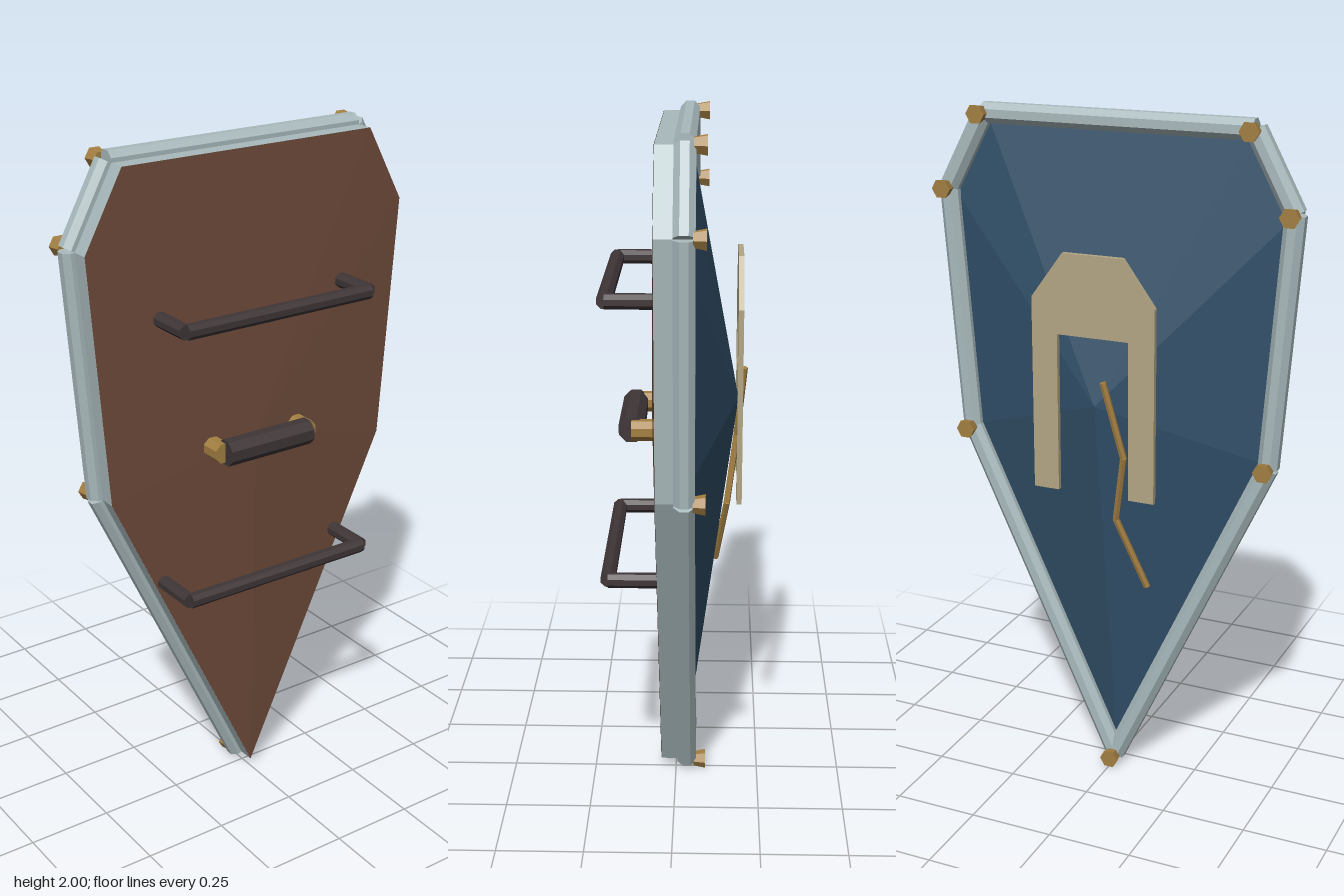
import * as THREE from 'three';

const mat = (color) => new THREE.MeshStandardMaterial({ color, flatShading: true, side: THREE.DoubleSide });
const steel = mat(0xa9babd), wood = mat(0x6e4a3a), paint = mat(0x32506a);
const brass = mat(0xa37f42), iron = mat(0x3f3537), bone = mat(0xb3a684);

// Shield outline, counter-clockwise seen from the front
const half = [[0.467, 1.04], [0.52, 1.755], [0.403, 1.971]];
const outline = [[0, 0.029], ...half, ...half.map(([x, y]) => [-x, y]).reverse()];

const V = (x, y, z) => new THREE.Vector3(x, y, z);

function add(parent, name, geometry, material) {
  const mesh = new THREE.Mesh(geometry, material);
  mesh.name = name;
  parent.add(mesh);
  return mesh;
}

// Straight faceted rod between two points
function rod(parent, name, a, b, radius, material, sides = 8, endRadius = radius) {
  const dir = b.clone().sub(a);
  const geometry = new THREE.CylinderGeometry(endRadius, radius, dir.length(), sides);
  geometry.rotateY(Math.PI / sides);
  const mesh = add(parent, name, geometry, material);
  mesh.position.copy(a).add(b).multiplyScalar(0.5);
  mesh.quaternion.setFromUnitVectors(V(0, 1, 0), dir.normalize());
  return mesh;
}

// Shallow pyramid from the outline to an apex
function pyramid(baseZ, apex, facesFront) {
  const pos = [];
  outline.forEach(([x, y], i) => {
    const [nx, ny] = outline[(i + 1) % outline.length];
    const edge = [[x, y, baseZ], [nx, ny, baseZ]];
    if (!facesFront) edge.reverse();
    pos.push(...apex, ...edge[0], ...edge[1]);
  });
  const geometry = new THREE.BufferGeometry();
  geometry.setAttribute('position', new THREE.Float32BufferAttribute(pos, 3));
  geometry.computeVertexNormals();
  return geometry;
}

function plate(points, depth, z) {
  const shape = new THREE.Shape(points.map(([x, y]) => new THREE.Vector2(x, y)));
  return new THREE.ExtrudeGeometry(shape, { depth, bevelEnabled: false }).translate(0, 0, z);
}

export function createModel() {
  const model = new THREE.Group();
  model.name = 'shield';

  // Body: metal edge, wooden inner side, painted outer side
  add(model, 'edgePlate', plate(outline, 0.065, -0.02), steel);
  add(model, 'woodenInside', pyramid(0.046, [0, 1.15, 0.07], true), wood);
  add(model, 'paintedFace', pyramid(-0.021, [0, 1.2, -0.18], false), paint);

  // Rim bars and corner studs
  const rim = new THREE.Group();
  rim.name = 'rim';
  model.add(rim);
  outline.forEach(([x, y], i) => {
    const [nx, ny] = outline[(i + 1) % outline.length];
    rod(rim, 'rimBar', V(x, y, -0.033), V(nx, ny, -0.033), 0.031, steel);
    rod(rim, 'stud', V(x, y, -0.055), V(x, y, -0.09), 0.022, brass, 6, 0.029);
  });

  // Arch emblem
  const archSide = [[0.108, 1.4], [0.108, 0.94], [0.185, 0.94], [0.185, 1.5], [0.09, 1.63]];
  const arch = [...archSide, ...archSide.map(([x, y]) => [-x, y]).reverse()];
  add(model, 'archEmblem', plate(arch, 0.015, -0.19), bone);

  // Zigzag crack
  const crack = [V(-0.035, 1.28, -0.197), V(-0.088, 1.06, -0.177), V(-0.053, 0.86, -0.15), V(-0.137, 0.65, -0.117)];
  for (let i = 0; i < 3; i++) rod(model, 'crackBar', crack[i], crack[i + 1], 0.01, brass, 6);

  // Arm straps
  for (const y of [1.55, 0.755]) {
    const strap = new THREE.Group();
    strap.name = 'armStrap';
    model.add(strap);
    rod(strap, 'strapBar', V(-0.305, y, 0.183), V(0.305, y, 0.183), 0.022, iron);
    for (const s of [-1, 1]) rod(strap, 'strapPost', V(s * 0.305, y, 0.04), V(s * 0.305, y, 0.183), 0.022, iron);
  }

  // Centre grip on brass mounts
  const grip = new THREE.Group();
  grip.name = 'grip';
  model.add(grip);
  rod(grip, 'gripBar', V(-0.142, 1.145, 0.122), V(0.142, 1.145, 0.122), 0.039, iron);
  for (const s of [-1, 1]) rod(grip, 'gripMount', V(s * 0.145, 1.145, 0.04), V(s * 0.145, 1.145, 0.122), 0.031, brass);

  return model;
}
